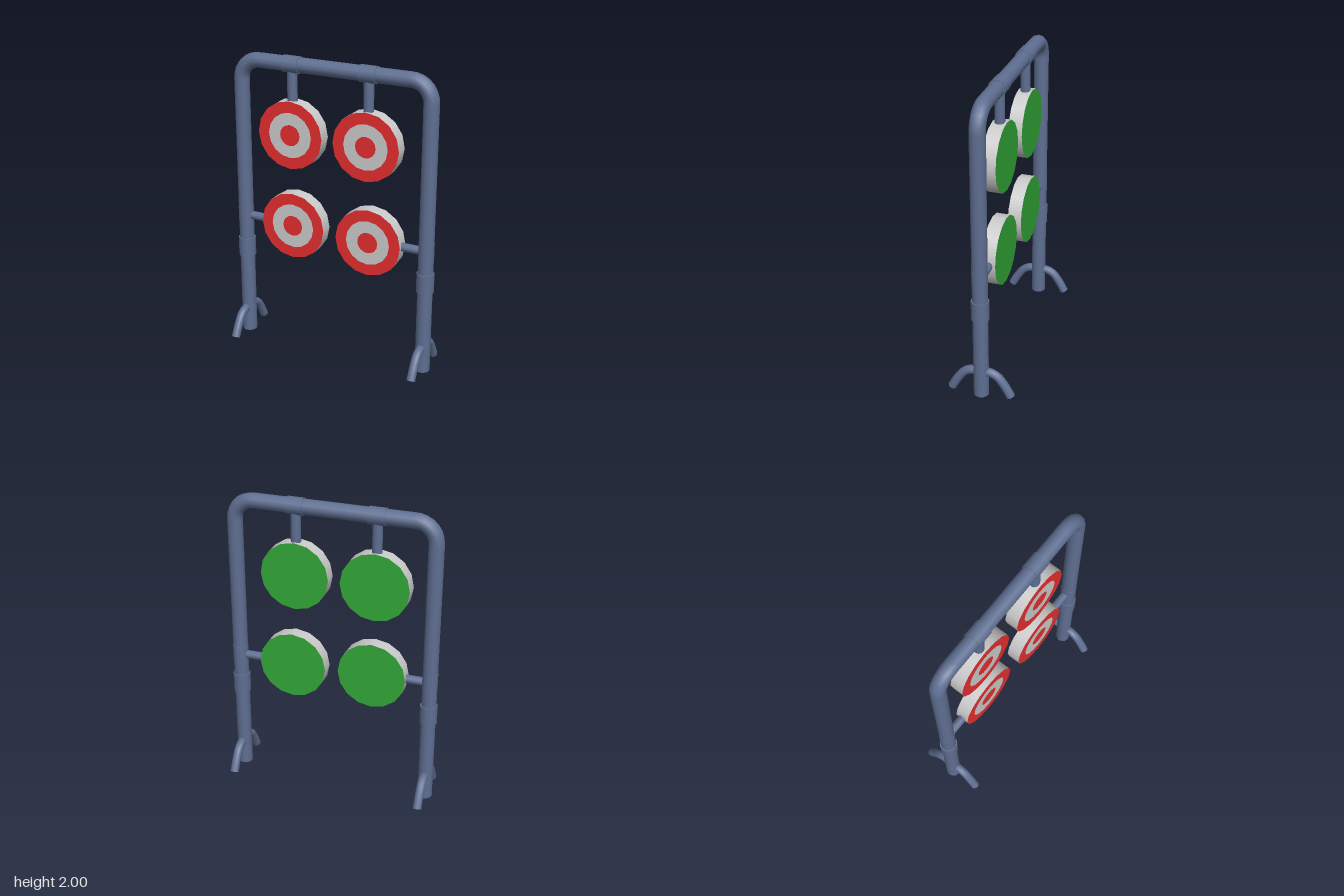
import * as THREE from 'three';

const V = (x, y, z = 0) => new THREE.Vector3(x, y, z);
const paint = (color) => new THREE.MeshStandardMaterial({ color });

export function createModel() {
  const model = new THREE.Group();
  const steel = paint(0x5f6f92);
  const red = paint(0xe52e2e);
  const green = paint(0x32a838);
  const grey = paint(0xcccccc);

  const POST_X = 0.652, BAR_Y = 1.944, PIPE_R = 0.05, BEND = 0.13, SIDES = 12;

  function add(parent, name, geometry, material) {
    const mesh = new THREE.Mesh(geometry, material);
    mesh.name = name;
    parent.add(mesh);
    return mesh;
  }

  // Straight capped cylinder between two points
  function rod(name, a, b, radius) {
    const mesh = add(model, name, new THREE.CylinderGeometry(radius, radius, a.distanceTo(b), SIDES), steel);
    mesh.position.copy(a).lerp(b, 0.5);
    mesh.quaternion.setFromUnitVectors(V(0, 1), b.clone().sub(a).normalize());
    return mesh;
  }

  // Bent pipe with closed ends
  function pipe(name, curve, segments, radius) {
    const group = new THREE.Group();
    group.name = name;
    add(group, name + 'Tube', new THREE.TubeGeometry(curve, segments, radius, SIDES), steel);
    for (const [t, dir] of [[0, -1], [1, 1]]) {
      const cap = add(group, name + 'Cap', new THREE.CircleGeometry(radius, SIDES), steel);
      cap.position.copy(curve.getPointAt(t));
      cap.quaternion.setFromUnitVectors(V(0, 0, 1), curve.getTangentAt(t).multiplyScalar(dir));
    }
    model.add(group);
  }

  // Disc with a bullseye front and a plain green back
  function target(x, y) {
    const R = 0.226, HALF = 0.045, N = 16;
    const group = new THREE.Group();
    group.name = 'target';
    group.position.set(x, y, 0);
    add(group, 'rim', new THREE.CylinderGeometry(R, R, HALF * 2, N, 1, true).rotateX(Math.PI / 2), grey);
    add(group, 'outerRing', new THREE.RingGeometry(0.151, R, N).translate(0, 0, HALF), red);
    add(group, 'middleRing', new THREE.RingGeometry(0.07, 0.151, N).translate(0, 0, HALF), grey);
    add(group, 'bullseye', new THREE.CircleGeometry(0.07, N).translate(0, 0, HALF), red);
    add(group, 'back', new THREE.CircleGeometry(R, N).rotateY(Math.PI).translate(0, 0, -HALF), green);
    model.add(group);
  }

  // Arch frame with rounded upper corners
  const arch = new THREE.CurvePath();
  const shoulder = BAR_Y - BEND, inner = POST_X - BEND, k = BEND * 0.448;
  arch.add(new THREE.LineCurve3(V(-POST_X, 0), V(-POST_X, shoulder)));
  arch.add(new THREE.CubicBezierCurve3(V(-POST_X, shoulder), V(-POST_X, BAR_Y - k), V(-POST_X + k, BAR_Y), V(-inner, BAR_Y)));
  arch.add(new THREE.LineCurve3(V(-inner, BAR_Y), V(inner, BAR_Y)));
  arch.add(new THREE.CubicBezierCurve3(V(inner, BAR_Y), V(POST_X - k, BAR_Y), V(POST_X, BAR_Y - k), V(POST_X, shoulder)));
  arch.add(new THREE.LineCurve3(V(POST_X, shoulder), V(POST_X, 0)));
  pipe('frame', arch, 160, PIPE_R);

  // Upper targets hang from collars on the crossbar
  for (const x of [-0.285, 0.243]) {
    rod('crossbarCollar', V(x - 0.055, BAR_Y), V(x + 0.055, BAR_Y), 0.056);
    rod('hanger', V(x, BAR_Y), V(x, 1.69), 0.033);
    target(x, 1.488);
  }

  // Lower targets sit on side arms
  for (const [side, x, y] of [[-1, -0.274, 0.865], [1, 0.265, 0.848]]) {
    const px = side * POST_X;
    rod('armCollar', V(px, y + 0.01 - 0.055), V(px, y + 0.01 + 0.055), 0.0515);
    rod('sideArm', V(px, y), V(x + side * 0.2, y), 0.028);
    target(x, y);
  }

  // Post joints and splayed feet
  for (const side of [-1, 1]) {
    const px = side * POST_X;
    rod('postJoint', V(px, 0.57), V(px, 0.7), 0.058);
    for (const f of [-1, 1]) {
      const foot = new THREE.CatmullRomCurve3(
        [[0, 0.172], [0.065, 0.171], [0.11, 0.148], [0.156, 0.088], [0.196, 0.016]].map(([z, y]) => V(px, y, f * z)));
      pipe('foot', foot, 14, 0.029);
    }
  }

  // Slight turn of the whole stand
  const root = new THREE.Group();
  root.name = 'targetStand';
  model.rotation.y = -0.006;
  root.add(model);
  return root;
}
